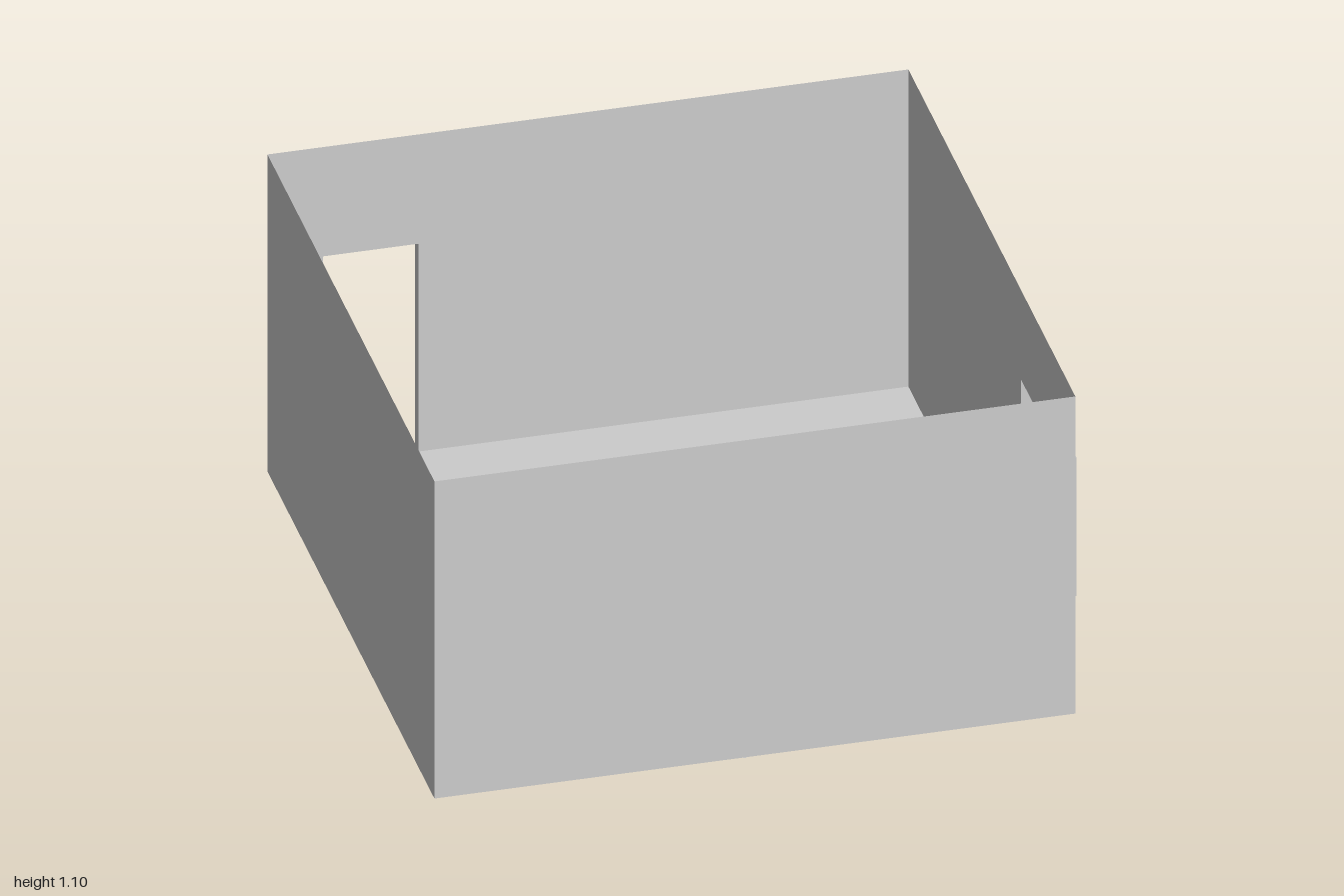
import * as THREE from 'three';

const material = new THREE.MeshStandardMaterial({ color: 0xcccccc, side: THREE.DoubleSide, flatShading: true });
const FLOOR = 0.012, TOP = 1.1;
const X0 = -1, X1 = 0.955, Z0 = -0.96, Z1 = 0.997;
const CX = -0.025; // shared centre line of chair and easel

function mesh(name, geometry, parent) {
  const m = new THREE.Mesh(geometry, material);
  m.name = name;
  parent.add(m);
  return m;
}

function group(name, parent) {
  const g = new THREE.Group();
  g.name = name;
  parent.add(g);
  return g;
}

function polygon(points) {
  return new THREE.Shape(points.map(([x, y]) => new THREE.Vector2(x, y)));
}

const rect = (a, b, c, d) => polygon([[a, c], [b, c], [b, d], [a, d]]);

// Straight square timber between two points
function bar(name, from, to, width, depth, parent) {
  const a = new THREE.Vector3(...from), b = new THREE.Vector3(...to);
  const m = mesh(name, new THREE.BoxGeometry(width, depth, a.distanceTo(b)), parent);
  m.position.copy(a).add(b).multiplyScalar(0.5);
  m.lookAt(b);
  return m;
}

// Thin wall facing local +z, with an optional opening whose reveal projects outwards
function wall(name, u0, u1, opening, parent) {
  const g = group(name, parent);
  if (!opening) {
    mesh(name + 'Panel', new THREE.ShapeGeometry(rect(u0, u1, FLOOR, TOP)), g);
    return g;
  }
  const { a, b, c, d, depth } = opening;
  const panels = [rect(u0, a, FLOOR, TOP), rect(b, u1, FLOOR, TOP), rect(a, b, d, TOP)];
  if (c > FLOOR) panels.push(rect(a, b, FLOOR, c));
  mesh(name + 'Panel', new THREE.ShapeGeometry(panels), g);
  for (const u of [a, b]) {
    const side = mesh(opening.name + 'Jamb', new THREE.PlaneGeometry(depth, d - c), g);
    side.rotation.y = Math.PI / 2;
    side.position.set(u, (c + d) / 2, depth / 2);
  }
  for (const y of [c, d]) {
    const edge = mesh(opening.name + (y === c ? 'Sill' : 'Head'), new THREE.PlaneGeometry(b - a, depth), g);
    edge.rotation.x = Math.PI / 2;
    edge.position.set((a + b) / 2, y, depth / 2);
  }
  return g;
}

function addRoom(root) {
  const room = group('room', root);
  const floor = mesh('floor', new THREE.PlaneGeometry(X1 - X0, Z1 - Z0), room);
  floor.rotation.x = -Math.PI / 2;
  floor.position.set((X0 + X1) / 2, FLOOR, (Z0 + Z1) / 2);

  wall('frontWall', X0, X1, null, room).position.z = Z1;
  const back = wall('backWall', -X1, -X0,
    { name: 'door', a: 0.54, b: 0.83, c: FLOOR, d: 0.725, depth: 0.04 }, room);
  back.rotation.y = Math.PI;
  back.position.z = Z0;
  const left = wall('leftWall', -Z1, -Z0,
    { name: 'window', a: -0.838, b: -0.36, c: 0.318, d: 0.793, depth: 0.045 }, room);
  left.rotation.y = Math.PI / 2;
  left.position.x = X1;
  const right = wall('rightWall', Z0, Z1, null, room);
  right.rotation.y = -Math.PI / 2;
  right.position.x = X0;
}

// Chair facing the easel, with a tapered seat and slatted back
function addChair(root) {
  const chair = group('chair', root);
  chair.position.x = CX;
  const seatY = 0.2, backY = 0.37;
  const seat = mesh('seat', new THREE.ExtrudeGeometry(
    polygon([[-0.095, -0.11], [0.095, -0.11], [0.08, 0.095], [-0.08, 0.095]]),
    { depth: 0.012, bevelEnabled: false }), chair);
  seat.rotation.x = -Math.PI / 2;
  seat.position.y = seatY - 0.006;
  for (const s of [-1, 1]) {
    bar('backLeg', [s * 0.077, FLOOR, -0.095], [s * 0.077, seatY, -0.09], 0.014, 0.014, chair);
    bar('backPost', [s * 0.077, seatY, -0.09], [s * 0.08, backY, -0.122], 0.014, 0.014, chair);
    bar('frontLeg', [s * 0.082, FLOOR, 0.095], [s * 0.085, seatY, 0.095], 0.014, 0.014, chair);
    bar('sideStretcher', [s * 0.077, 0.065, -0.09], [s * 0.082, 0.065, 0.095], 0.008, 0.012, chair);
  }
  bar('topRail', [-0.088, backY, -0.122], [0.088, backY, -0.122], 0.014, 0.025, chair);
  bar('lowerRail', [-0.077, 0.245, -0.099], [0.077, 0.245, -0.099], 0.01, 0.014, chair);
  for (const x of [-0.042, 0, 0.042]) {
    bar('backSlat', [x, 0.245, -0.099], [x, backY, -0.122], 0.016, 0.006, chair);
  }
}

// Three-legged easel facing the chair
function addEasel(root) {
  const easel = group('easel', root);
  easel.position.x = CX;
  for (const s of [-1, 1]) {
    bar('frontLeg', [s * 0.143, 0.002, 0.739], [s * 0.018, 0.575, 0.818], 0.014, 0.012, easel);
  }
  bar('rearLeg', [0, 0.002, 0.983], [0, 0.53, 0.818], 0.01, 0.012, easel);
  bar('centrePost', [0, 0.13, 0.757], [0, 0.53, 0.812], 0.012, 0.01, easel);
  bar('upperCrossbar', [-0.03, 0.525, 0.81], [0.03, 0.525, 0.81], 0.01, 0.016, easel);
  bar('tray', [-0.135, 0.13, 0.744], [0.135, 0.13, 0.744], 0.018, 0.014, easel);
  bar('brace', [0, 0.445, 0.8], [0, 0.445, 0.845], 0.008, 0.01, easel);
}

// Plain square block set at an angle
function addBlock(root) {
  const size = 0.286;
  const block = mesh('sideBlock', new THREE.BoxGeometry(size, size, size), root);
  block.position.set(-0.326, FLOOR + size / 2, 0.35);
  block.rotation.y = THREE.MathUtils.degToRad(28.5);
}

export function createModel() {
  const root = new THREE.Group();
  root.name = 'studioRoom';
  addRoom(root);
  addChair(root);
  addEasel(root);
  addBlock(root);
  return root;
}
